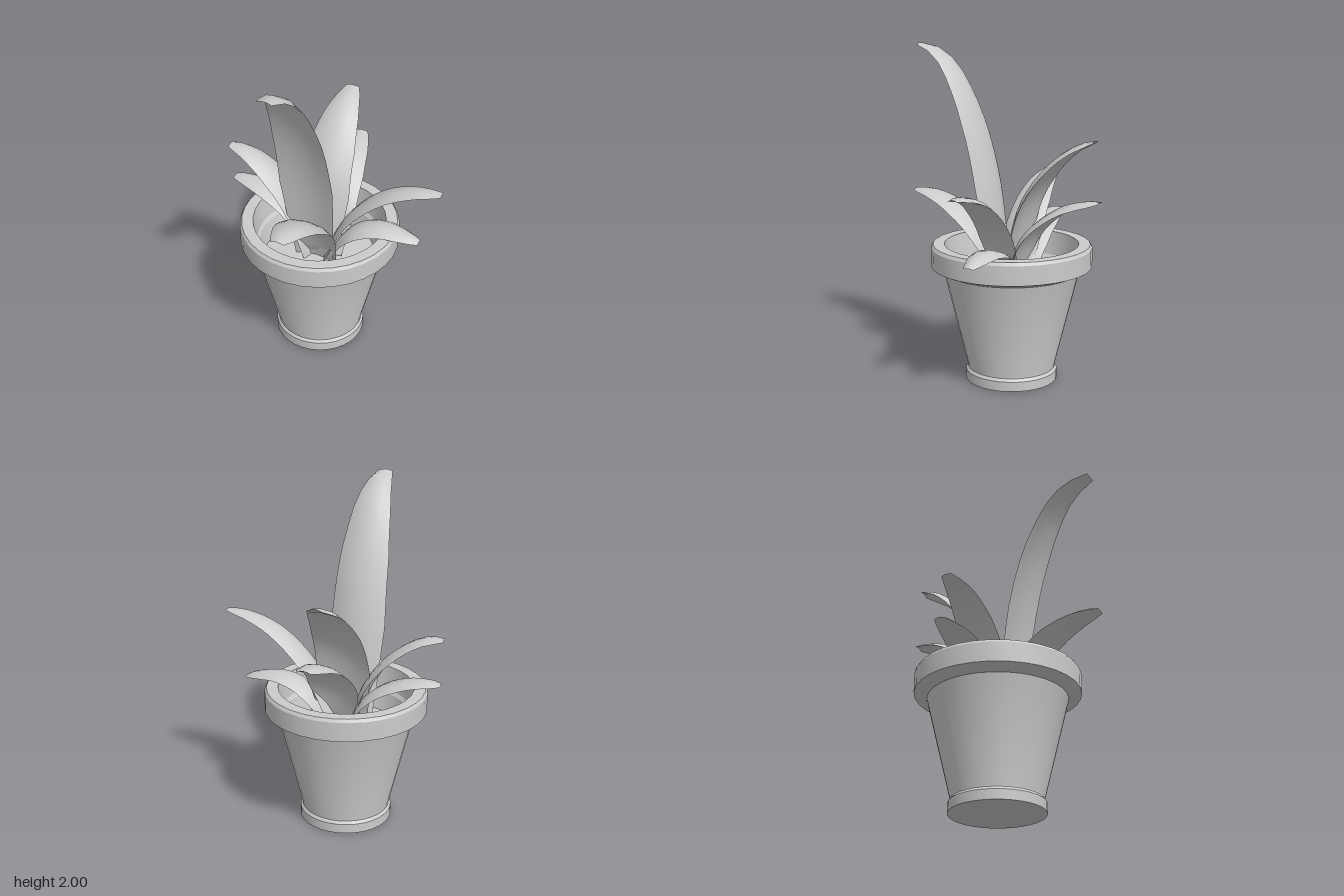
import * as THREE from 'three';
import { toCreasedNormals } from 'three/addons/utils/BufferGeometryUtils.js';

const material = new THREE.MeshStandardMaterial({ color: 0xcccccc });
const CX = -0.08, CZ = -0.03; // pot axis

function part(name, geometry, crease = 0.6) {
  const mesh = new THREE.Mesh(toCreasedNormals(geometry, crease), material);
  mesh.name = name;
  return mesh;
}

function lathe(points) {
  return new THREE.LatheGeometry(points.map(([r, y]) => new THREE.Vector2(r, y)), 32);
}

// half width along the leaf, as a fraction of its widest point
const PROFILE = [[0, 0.72], [0.15, 0.85], [0.38, 1], [0.62, 0.9], [0.8, 0.7], [0.92, 0.48], [1, 0.26]];
function widthAt(t) {
  const k = Math.max(1, PROFILE.findIndex(p => p[0] >= t - 1e-6));
  const [a, b] = [PROFILE[k - 1], PROFILE[k]];
  return THREE.MathUtils.lerp(a[1], b[1], (t - a[0]) / (b[0] - a[0]));
}

// Arched leaf: an eight-sided cross-section swept along a spine.
// Spine points are [distance along dir, height]; offset shifts base and tip sideways.
function leafGeometry({ dir, spine, width, base, tip }) {
  const d = new THREE.Vector3(...dir);
  const across = new THREE.Vector3(Math.abs(dir[2]), 0, Math.abs(dir[0]));
  const curve = new THREE.CatmullRomCurve3(spine.map(([s, y], i) =>
    d.clone().multiplyScalar(s)
      .addScaledVector(across, THREE.MathUtils.lerp(base, tip, i / (spine.length - 1))).setY(y)));
  const section = [[-1, 0], [-0.55, 1], [0, 1], [0.55, 1], [1, 0], [0.55, -1], [0, -1], [-0.55, -1]];
  const side = d.clone().cross(new THREE.Vector3(0, 1, 0));
  const rings = 16, n = section.length, positions = [], index = [];
  for (let i = 0; i <= rings; i++) {
    const t = i / rings, p = curve.getPointAt(t);
    const normal = side.clone().cross(curve.getTangentAt(t)).normalize();
    const w = width * widthAt(t);
    const thick = i === 0 || i === rings ? 0 : 0.011;
    for (const [u, v] of section) {
      const lift = 0.012 - 0.24 * w * u * u + v * thick;
      const q = p.clone().addScaledVector(side, u * w).addScaledVector(normal, lift);
      positions.push(q.x, q.y, q.z);
    }
  }
  for (let i = 0; i < rings; i++) for (let j = 0; j < n; j++) {
    const a = i * n + j, b = i * n + (j + 1) % n;
    index.push(a, b, a + n, b, b + n, a + n);
  }
  const g = new THREE.BufferGeometry();
  g.setAttribute('position', new THREE.Float32BufferAttribute(positions, 3));
  g.setIndex(index);
  return g;
}

const FRONT = [0, 0, 1], BACK = [0, 0, -1], LEFT = [1, 0, 0], RIGHT = [-1, 0, 0];
const LEAVES = {
  frontTallLeaf: { dir: FRONT, width: 0.168, base: -0.09, tip: -0.095,
    spine: [[0.01, 0.56], [0.055, 0.85], [0.1, 1.15], [0.17, 1.44], [0.26, 1.67], [0.38, 1.87], [0.48, 1.95], [0.59, 1.985]] },
  frontLowLeaf: { dir: FRONT, width: 0.15, base: -0.06, tip: -0.045,
    spine: [[0.0, 0.58], [0.11, 0.85], [0.2, 0.95], [0.31, 1.03], [0.45, 1.09], [0.6, 1.11]] },
  backHighLeaf: { dir: BACK, width: 0.165, base: -0.09, tip: -0.095,
    spine: [[0.02, 0.56], [0.06, 0.85], [0.13, 1.09], [0.25, 1.27], [0.4, 1.4], [0.55, 1.465]] },
  backLowLeaf: { dir: BACK, width: 0.15, base: -0.05, tip: -0.05,
    spine: [[0.03, 0.58], [0.14, 0.87], [0.25, 0.99], [0.4, 1.08], [0.6, 1.125]] },
  leftHighLeaf: { dir: LEFT, width: 0.11, base: -0.035, tip: -0.045,
    spine: [[-0.03, 0.56], [0.09, 0.85], [0.19, 0.99], [0.34, 1.12], [0.5, 1.19], [0.67, 1.215]] },
  leftLowLeaf: { dir: LEFT, width: 0.11, base: -0.06, tip: -0.07,
    spine: [[-0.01, 0.57], [0.1, 0.75], [0.2, 0.825], [0.32, 0.855], [0.42, 0.845], [0.54, 0.815]] },
  rightHighLeaf: { dir: RIGHT, width: 0.125, base: -0.025, tip: -0.04,
    spine: [[0.13, 0.56], [0.21, 0.85], [0.3, 0.99], [0.43, 1.11], [0.55, 1.175], [0.67, 1.195]] },
  rightLowLeaf: { dir: RIGHT, width: 0.115, base: -0.06, tip: -0.08,
    spine: [[0.13, 0.57], [0.2, 0.75], [0.3, 0.85], [0.41, 0.905], [0.53, 0.935], [0.67, 0.938]] },
};

export function createModel() {
  const model = new THREE.Group();
  model.name = 'pottedPlant';

  // pot with foot ring, tapered wall, heavy rim and hollow inside
  const pot = part('pot', lathe([
    [0, 0], [0.275, 0], [0.275, 0.058], [0.262, 0.075], [0.262, 0.085],
    [0.405, 0.67], [0.415, 0.672], [0.48, 0.7], [0.48, 0.815], [0.468, 0.833],
    [0.4, 0.833], [0.38, 0.69], [0.365, 0.67], [0.33, 0.52],
  ]), 0.4);
  const soil = part('soil', lathe([[0.345, 0.56], [0.2, 0.565], [0, 0.57]]));
  for (const m of [pot, soil]) m.position.set(CX, 0, CZ);
  model.add(pot, soil);

  // leaves, two in each direction
  const leaves = new THREE.Group();
  leaves.name = 'leaves';
  for (const [name, spec] of Object.entries(LEAVES)) leaves.add(part(name, leafGeometry(spec), 0.9));
  model.add(leaves);
  return model;
}
